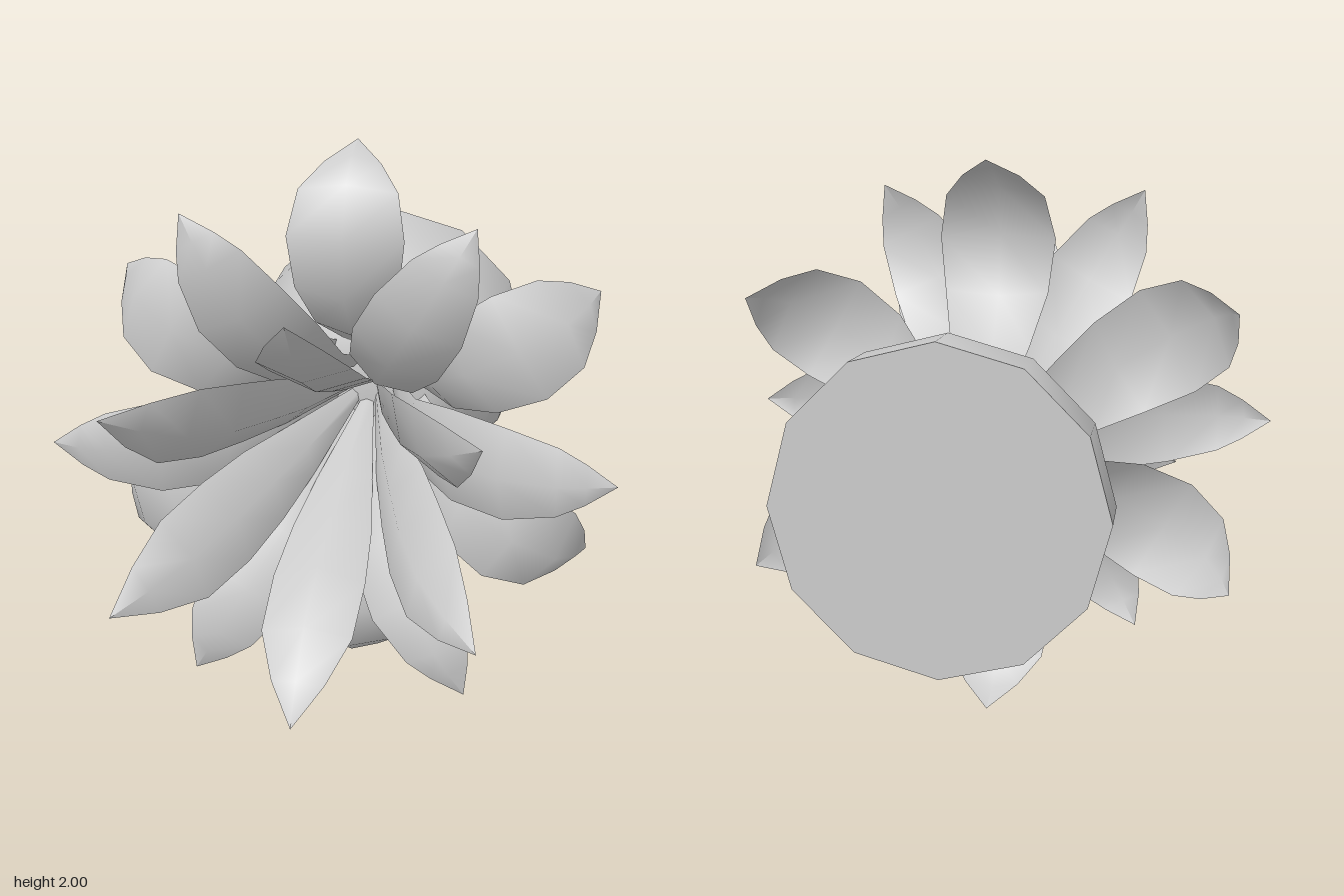
import * as THREE from 'three';

const petalMaterial = new THREE.MeshStandardMaterial({ color: 0xcccccc, side: THREE.DoubleSide });
const baseMaterial = new THREE.MeshStandardMaterial({ color: 0xcccccc });

// One petal pointing along +y. Each row is [z, radius, halfWidth] along its ridge;
// the side edges fall back from the ridge by a share of the width.
function petalGeometry(rows, fold) {
  const positions = [];
  const indices = [];
  rows.forEach(([z, r, w], i) => {
    const a = rows[Math.max(i - 1, 0)];
    const b = rows[Math.min(i + 1, rows.length - 1)];
    const tangent = new THREE.Vector2(b[0] - a[0], b[1] - a[1]).normalize();
    for (const side of [-1, 0, 1]) {
      const drop = Math.abs(side) * w * fold;
      positions.push(side * w, r + tangent.x * drop, z - tangent.y * drop);
    }
    if (i === 0) return;
    for (let c = 0; c < 2; c++) {
      const p = (i - 1) * 3 + c;
      const q = p + 3;
      indices.push(p, p + 1, q + 1);
      // the last row closes to a point
      if (w > 0) indices.push(p, q + 1, q);
    }
  });
  const geometry = new THREE.BufferGeometry();
  geometry.setAttribute('position', new THREE.Float32BufferAttribute(positions, 3));
  geometry.setIndex(indices);
  geometry.computeVertexNormals();
  return geometry;
}

// Six copies of a petal around the z axis
function petalRing(name, rows, fold, startAngle) {
  const ring = new THREE.Group();
  ring.name = name + 's';
  const geometry = petalGeometry(rows, fold);
  for (let i = 0; i < 6; i++) {
    const petal = new THREE.Mesh(geometry, petalMaterial);
    petal.name = name;
    petal.rotation.z = startAngle + (i * Math.PI) / 3;
    ring.add(petal);
  }
  return ring;
}

export function createModel() {
  const model = new THREE.Group();
  model.name = 'flower';
  const flower = new THREE.Group();
  flower.name = 'flowerHead';
  flower.position.y = 1;
  model.add(flower);

  // Rounded cup behind the petals
  const profile = [
    [0.54, -0.97], [0.53, -0.78], [0.48, -0.64], [0.365, -0.45],
    [0.24, -0.37], [0.11, -0.347], [0, -0.345],
  ].map(([r, y]) => new THREE.Vector2(r, y));
  const dome = new THREE.Mesh(new THREE.LatheGeometry(profile, 12).rotateX(Math.PI / 2), baseMaterial);
  dome.name = 'baseDome';
  flower.add(dome);

  // Flat back of the cup
  const back = new THREE.Mesh(new THREE.CircleGeometry(0.54, 12).rotateY(Math.PI), baseMaterial);
  back.name = 'baseBack';
  back.position.z = -0.97;
  flower.add(back);

  // Broad outer petals, curling backwards
  flower.add(petalRing('outerPetal', [
    [-0.35, 0.17, 0.1], [-0.06, 0.31, 0.14], [0.1, 0.49, 0.185], [0.14, 0.71, 0.207],
    [0.065, 0.89, 0.175], [-0.05, 0.965, 0.1], [-0.16, 1, 0],
  ], 0.3, 0));

  // Pointed middle petals, spreading sideways
  flower.add(petalRing('middlePetal', [
    [-0.35, 0.1, 0.05], [0.07, 0.21, 0.13], [0.27, 0.37, 0.17], [0.405, 0.58, 0.168],
    [0.43, 0.78, 0.125], [0.415, 0.88, 0.075], [0.385, 0.98, 0],
  ], 0.33, Math.PI / 6));

  // Slim inner petals, reaching forwards
  flower.add(petalRing('innerPetal', [
    [-0.35, 0.04, 0.025], [0.08, 0.155, 0.1], [0.31, 0.235, 0.14], [0.54, 0.32, 0.16],
    [0.75, 0.43, 0.155], [0.88, 0.56, 0.09], [0.97, 0.685, 0],
  ], 0.36, 0));

  return model;
}
